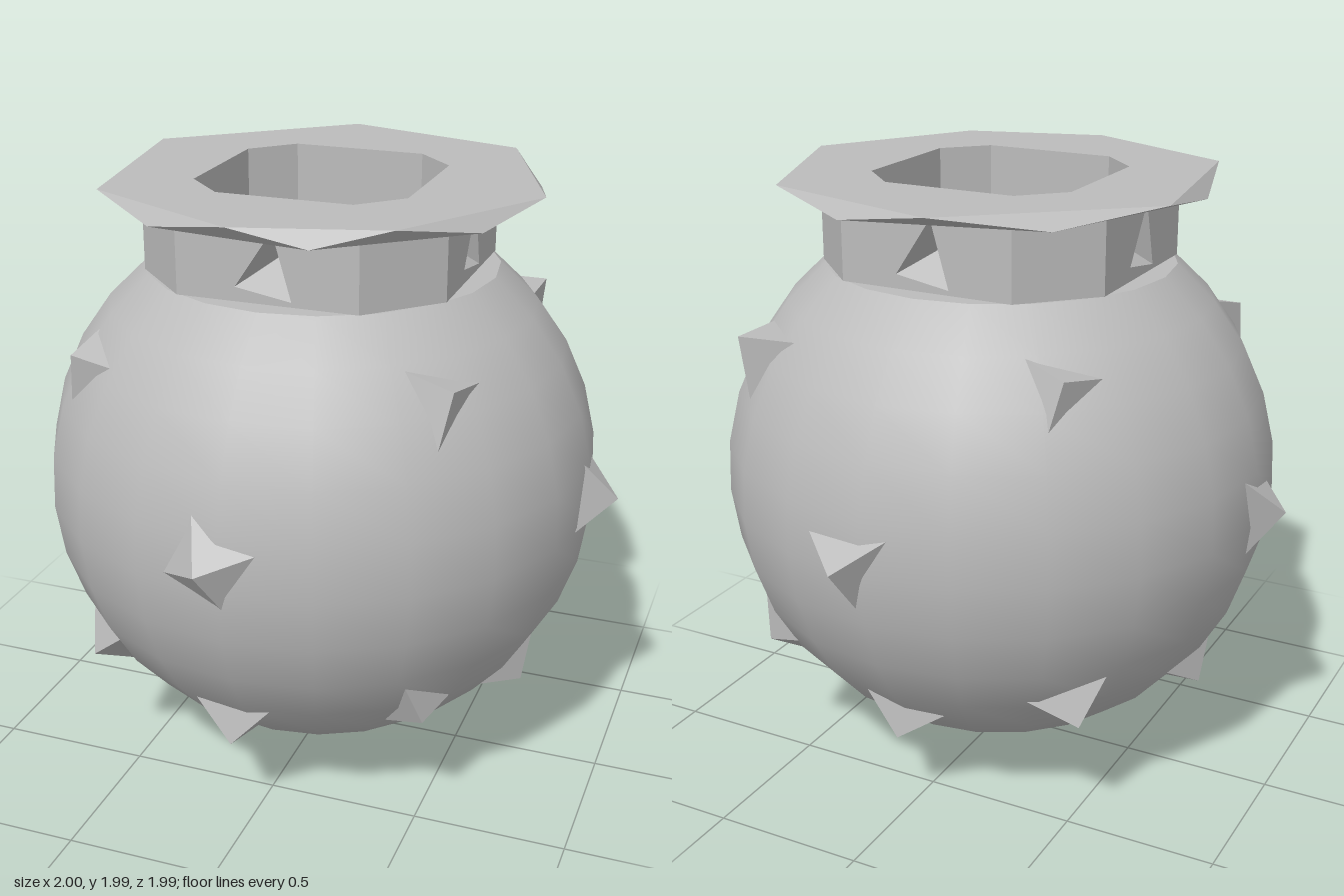
import * as THREE from 'three';

export function createModel() {
  const model = new THREE.Group();
  const grey = new THREE.MeshStandardMaterial({ color: 0xbcbcbc, side: THREE.DoubleSide });
  grey.name = 'stone grey';

  const add = (name, geometry, parent = model) => {
    const mesh = new THREE.Mesh(geometry, grey);
    mesh.name = name;
    parent.add(mesh);
    return mesh;
  };
  const flat = (g) => {
    const out = g.index ? g.toNonIndexed() : g;
    out.computeVertexNormals();
    return out;
  };
  const triangles = (points) => flat(new THREE.BufferGeometry().setFromPoints(points));
  const quad = (a, b, c, d) => [a, b, c, a, c, d];
  const v = (x, y, z) => new THREE.Vector3(x, y, z);

  // Horizontal plate from [x, z] outlines, with an optional hole
  const plate = (outline, y, hole) => {
    const path = (pts) => pts.map(([x, z]) => new THREE.Vector2(x, -z));
    const shape = new THREE.Shape(path(outline));
    if (hole) shape.holes.push(new THREE.Path(path(hole)));
    return new THREE.ShapeGeometry(shape).rotateX(-Math.PI / 2).translate(0, y, 0);
  };
  // Square with cut corners: face distance f, half face width w
  const octagon = (f, w) => [[w, f], [f, w], [f, -w], [w, -f], [-w, -f], [-f, -w], [-f, w], [-w, f]];

  const R = 0.915, centre = v(0, 1, 0), shoulder = 1.715, rimLow = 1.95;
  const outer = octagon(0.495, 0.29), inner = octagon(0.348, 0.22);

  // Round body, cut flat at the shoulder
  const end = Math.PI - Math.acos((shoulder - 1) / R);
  const profile = [];
  for (let i = 0; i <= 13; i++) {
    const a = (end * i) / 13;
    profile.push(new THREE.Vector2(R * Math.sin(a), 1 - R * Math.cos(a)));
  }
  add('body', new THREE.LatheGeometry(profile, 20));
  const shoulderR = profile[13].x;
  const circle = Array.from({ length: 20 }, (_, i) => {
    const a = (i / 20) * Math.PI * 2;
    return [shoulderR * Math.sin(a), shoulderR * Math.cos(a)];
  });
  add('shoulder', plate(circle, shoulder, inner));

  // Low spikes: tip position, twist, number of sides
  const spikes = [
    [-0.04, 1.04, 0.99, 0.3, 4], [0.05, 0.98, -1, 1.1, 3],
    [1, 1.01, -0.03, 0.5, 4], [-1, 1, 0.02, 0.2, 3],
    [-0.05, 0.01, 0.04, 0.6, 4],
    [-0.05, 0.31, 0.73, 0, 3], [0.02, 0.28, -0.69, 0.7, 3],
    [0.73, 0.32, 0.04, 0.4, 3], [-0.74, 0.33, 0.02, 0.9, 3],
    [0.54, 0.43, 0.58, 0.2, 3], [-0.61, 0.44, 0.57, 1.2, 3],
    [0.58, 0.45, -0.58, 0.8, 4], [-0.57, 0.42, -0.58, 0.1, 3],
    [0.6, 1.54, 0.56, 0.5, 3], [-0.63, 1.5, 0.56, 1, 3],
    [0.6, 1.53, -0.63, 0.3, 3], [-0.52, 1.55, -0.62, 1.4, 3],
  ];
  const spikeGroup = new THREE.Group();
  spikeGroup.name = 'spikes';
  model.add(spikeGroup);
  for (const [x, y, z, twist, sides] of spikes) {
    const dir = v(x, y, z).sub(centre);
    const base = 0.86, tip = dir.length();
    const cone = new THREE.ConeGeometry(0.2, tip - base, sides, 1, true);
    cone.rotateY(twist).translate(0, (tip + base) / 2, 0);
    const spike = add('spike', flat(cone), spikeGroup);
    spike.quaternion.setFromUnitVectors(v(0, 1, 0), dir.normalize());
    spike.position.copy(centre);
  }

  // Neck: four broad panels with triangular pits, four plain corner panels
  const neck = new THREE.Group();
  neck.name = 'neck';
  model.add(neck);
  const pit = [[0.02, 1.94], [-0.1, 1.76], [0.08, 1.7 + 0.03]];
  const panelShape = new THREE.Shape([
    [-0.29, shoulder], [0.29, shoulder], [0.29, rimLow], [-0.29, rimLow],
  ].map((p) => new THREE.Vector2(...p)));
  panelShape.holes.push(new THREE.Path(pit.map((p) => new THREE.Vector2(...p))));
  const f = 0.495, pitTip = v(0, 1.83, f - 0.13);
  const pitFaces = pit.flatMap(([x, y], i) => {
    const [nx, ny] = pit[(i + 1) % 3];
    return [v(nx, ny, f), v(x, y, f), pitTip];
  });
  for (let i = 0; i < 4; i++) {
    const turn = (i * Math.PI) / 2;
    add('neckPanel', new THREE.ShapeGeometry(panelShape).translate(0, 0, f), neck).rotation.y = turn;
    add('neckPit', triangles(pitFaces), neck).rotation.y = turn;
    add('neckCorner', triangles(quad(
      v(0.29, shoulder, f), v(f, shoulder, 0.29), v(f, rimLow, 0.29), v(0.29, rimLow, f),
    )), neck).rotation.y = turn;
  }

  // Mouth: straight-walled well with a flat floor
  const floor = 1.6;
  add('mouthWall', triangles(inner.flatMap(([x, z], i) => {
    const [nx, nz] = inner[(i + 1) % 8];
    return quad(v(nx, floor, nz), v(x, floor, z), v(x, 2, z), v(nx, 2, nz));
  })));
  add('mouthFloor', plate(inner, floor));

  // Uneven rim: upper and lower outlines are staggered, joined by a zigzag edge
  const upper = [[0.42, 0.57], [0.73, 0.07], [0.49, -0.54], [-0.13, -0.72],
    [-0.68, -0.26], [-0.57, 0.44], [-0.04, 0.7]];
  const lower = upper.map(([x, z], i) => {
    const [nx, nz] = upper[(i + 1) % 7];
    return [(x + nx) * 0.53, (z + nz) * 0.53];
  });
  add('rimTop', plate(upper, 2, inner));
  const underside = plate(lower, rimLow, outer);
  underside.index.array.reverse();
  add('rimUnderside', flat(underside));
  add('rimEdge', triangles(upper.flatMap(([x, z], i) => {
    const n = (i + 1) % 7;
    const a = v(x, 2, z), b = v(upper[n][0], 2, upper[n][1]);
    const c = v(lower[i][0], rimLow, lower[i][1]), d = v(lower[n][0], rimLow, lower[n][1]);
    return [a, c, b, b, c, d];
  })));

  return model;
}
